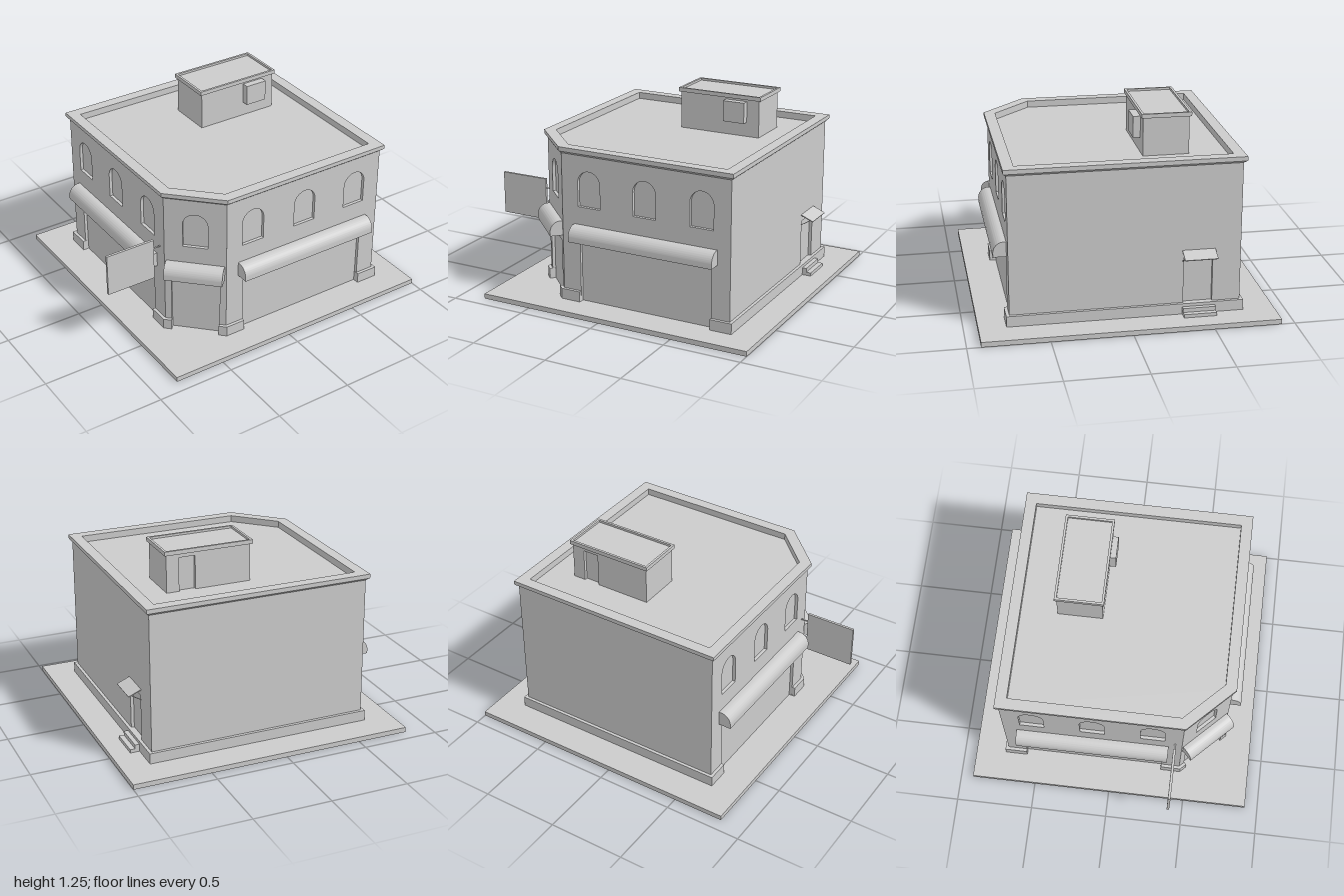
import * as THREE from 'three';
import { toCreasedNormals } from 'three/addons/utils/BufferGeometryUtils.js';

const GROUND = 0.032, ROOF = 0.985, RECESS = 0.02;
const material = new THREE.MeshStandardMaterial({ color: 0xcccccc });

function add(parent, name, geometry) {
  const mesh = new THREE.Mesh(geometry, material);
  mesh.name = name;
  parent.add(mesh);
  return mesh;
}

// Box given by its minimum and maximum on each axis
function block(parent, name, x0, x1, y0, y1, z0, z1) {
  const mesh = add(parent, name, new THREE.BoxGeometry(x1 - x0, y1 - y0, z1 - z0));
  mesh.position.set((x0 + x1) / 2, (y0 + y1) / 2, (z0 + z1) / 2);
}

const toShape = points => new THREE.Shape(points.map(p => new THREE.Vector2(...p)));
const rectangle = (x0, x1, z0, z1) => [[x0, z1], [x1, z1], [x1, z0], [x0, z0]];

// Plan outline of [x, z] points, with optional holes, raised from y0 to y1
function raisePlan(points, y0, y1, holes = []) {
  const flip = list => toShape(list.map(([x, z]) => [x, -z]));
  const shape = flip(points);
  shape.holes = holes.map(flip);
  return new THREE.ExtrudeGeometry(shape, { depth: y1 - y0, bevelEnabled: false })
    .rotateX(-Math.PI / 2).translate(0, y0, 0);
}

// Side profile (outward, up) extruded along the wall and centred on it
function alongWall(shape, length) {
  return new THREE.ExtrudeGeometry(shape, { depth: length, bevelEnabled: false, curveSegments: 16 })
    .translate(0, 0, -length / 2).rotateY(-Math.PI / 2);
}

// The building is symmetrical about the diagonal through its cut corner
const mirror = ([x, z]) => [0.1 - z, 0.1 - x];

// Building footprint, offset outward by o, counter-clockwise from above
function footprint(o) {
  const cut = [-0.352 - o * 0.414, 0.725 + o];
  return [cut, [0.8 + o, 0.725 + o], [0.8 + o, -0.7 - o], [-0.625 - o, -0.7 - o], mirror(cut)];
}

// Flat-faced band swept round the footprint from [offset, height] steps
function sweepBand(profile) {
  const positions = [];
  const rings = profile.map(([o, y]) => footprint(o).map(([x, z]) => [x, y, z]));
  for (let i = 0; i < rings.length - 1; i++) {
    for (let j = 0; j < 5; j++) {
      const k = (j + 1) % 5;
      const [a, b, c, d] = [rings[i][j], rings[i][k], rings[i + 1][k], rings[i + 1][j]];
      positions.push(...a, ...b, ...c, ...a, ...c, ...d);
    }
  }
  const geometry = new THREE.BufferGeometry();
  geometry.setAttribute('position', new THREE.Float32BufferAttribute(positions, 3));
  geometry.computeVertexNormals();
  return geometry;
}

function archedHole(u) {
  const half = 0.078;
  const hole = new THREE.Path();
  hole.moveTo(u - half, 0.656);
  hole.lineTo(u + half, 0.656);
  hole.lineTo(u + half, 0.81);
  hole.absarc(u, 0.81, half, 0, Math.PI, false);
  hole.closePath();
  return hole;
}

// Outer wall layer with a ground-floor opening and arched upper windows
function facade(parent, { name, x, z, angle, length, opening, windows = [], awning }) {
  const group = new THREE.Group();
  group.name = name;
  group.position.set(x, 0, z);
  group.rotation.y = angle;
  parent.add(group);

  const h = length / 2;
  const outline = [[-h, GROUND]];
  if (opening) {
    const { u, half, top } = opening;
    outline.push([u - half, GROUND], [u - half, top], [u + half, top], [u + half, GROUND]);
  }
  outline.push([h, GROUND], [h, ROOF], [-h, ROOF]);
  const shape = toShape(outline);
  shape.holes = windows.map(archedHole);
  add(group, 'wall', new THREE.ExtrudeGeometry(shape, { depth: RECESS, bevelEnabled: false, curveSegments: 16 })
    .translate(0, 0, -RECESS));

  // Round-fronted awning
  if (awning) {
    const profile = new THREE.Shape();
    profile.moveTo(0, 0.446);
    profile.lineTo(0.081, 0.446);
    profile.absellipse(0.016, 0.472, 0.065, 0.069, 0, Math.PI / 2, false, 0);
    profile.lineTo(0, 0.541);
    profile.closePath();
    add(group, 'awning', toCreasedNormals(alongWall(profile, awning), 0.5));
  }
  return group;
}

export function createModel() {
  const model = new THREE.Group();
  model.name = 'cornerShop';

  block(model, 'pavement', -0.833, 1, 0, GROUND, -0.918, 0.915);
  add(model, 'buildingCore', raisePlan(footprint(-RECESS), GROUND, ROOF));

  // Walls
  const shop = {
    length: 1.152, windows: [-0.385, 0, 0.385], awning: 0.981,
    opening: { u: 0, half: 0.4525, top: 0.47 },
  };
  facade(model, { name: 'frontFacade', x: 0.224, z: 0.725, angle: 0, ...shop });
  facade(model, { name: 'rightFacade', x: -0.625, z: -0.124, angle: -Math.PI / 2, ...shop });
  facade(model, {
    name: 'cornerFacade', x: -0.4885, z: 0.5885, angle: -Math.PI / 4, length: 0.386,
    windows: [0], awning: 0.364, opening: { u: 0, half: 0.152, top: 0.403 },
  });
  facade(model, { name: 'backFacade', x: 0.0875, z: -0.7, angle: Math.PI, length: 1.425 });
  const side = facade(model, {
    name: 'sideFacade', x: 0.8, z: 0.0125, angle: Math.PI / 2, length: 1.425,
    opening: { u: 0.447, half: 0.0905, top: 0.4 },
  });

  // Side door canopy with struts, and steps
  const canopy = toShape([[0, 0.439], [0.08, 0.406], [0.082, 0.411], [0, 0.445]]);
  add(side, 'doorCanopy', alongWall(canopy, 0.205)).position.x = 0.45;
  const strut = toShape([[0, 0.373], [0.06, 0.41], [0.06, 0.414], [0, 0.377]]);
  for (const u of [0.352, 0.548]) add(side, 'canopyStrut', alongWall(strut, 0.008)).position.x = u;
  block(side, 'upperStep', 0.348, 0.552, GROUND, 0.08, 0, 0.048);
  block(side, 'lowerStep', 0.348, 0.552, GROUND, 0.054, 0, 0.08);

  // Plinth, broken at the shopfronts and the corner door
  const cornerPlinth = [[-0.23, 0.745], [-0.36, 0.745], [-0.3965, 0.7085], [-0.3615, 0.6735], [-0.23, 0.69]];
  const mainPlinth = [
    [0.675, 0.745], [0.82, 0.745], [0.82, -0.72], [-0.645, -0.72], [-0.645, -0.575],
    [-0.59, -0.575], [-0.59, -0.665], [0.765, -0.665], [0.765, 0.69], [0.675, 0.69],
  ];
  for (const plan of [mainPlinth, cornerPlinth, cornerPlinth.map(mirror)]) {
    add(model, 'plinth', raisePlan(plan, GROUND, 0.1));
  }

  // Cornice and parapet
  add(model, 'cornice', sweepBand([
    [0, 0.985], [0.018, 1.0], [0.018, 1.004], [0.02, 1.004],
    [0.02, 1.028], [-0.051, 1.028], [-0.051, 0.98],
  ]));

  // Rooftop stair house with a recessed back door and a raised roof rim
  const house = new THREE.Group();
  house.name = 'stairHouse';
  model.add(house);
  add(house, 'stairHouseWalls', raisePlan([
    [0.028, -0.13], [0.577, -0.13], [0.577, -0.416], [0.495, -0.416], [0.495, -0.396],
    [0.39, -0.396], [0.39, -0.416], [0.028, -0.416],
  ], ROOF, 1.2));
  block(house, 'stairHouseTop', 0.028, 0.577, 1.2, 1.237, -0.416, -0.13);
  add(house, 'stairHouseRim', raisePlan(
    rectangle(0.015, 0.59, -0.428, -0.12), 1.225, 1.251, [rectangle(0.03, 0.575, -0.413, -0.135)]));
  block(house, 'ventilationUnit', 0.348, 0.493, 1.078, 1.212, -0.13, -0.085);

  // Projecting sign board on a thin bar
  block(model, 'signBoard', -1, -0.675, 0.403, 0.679, 0.398, 0.414);
  block(model, 'signBar', -0.68, -0.62, 0.615, 0.619, 0.401, 0.411);

  return model;
}
